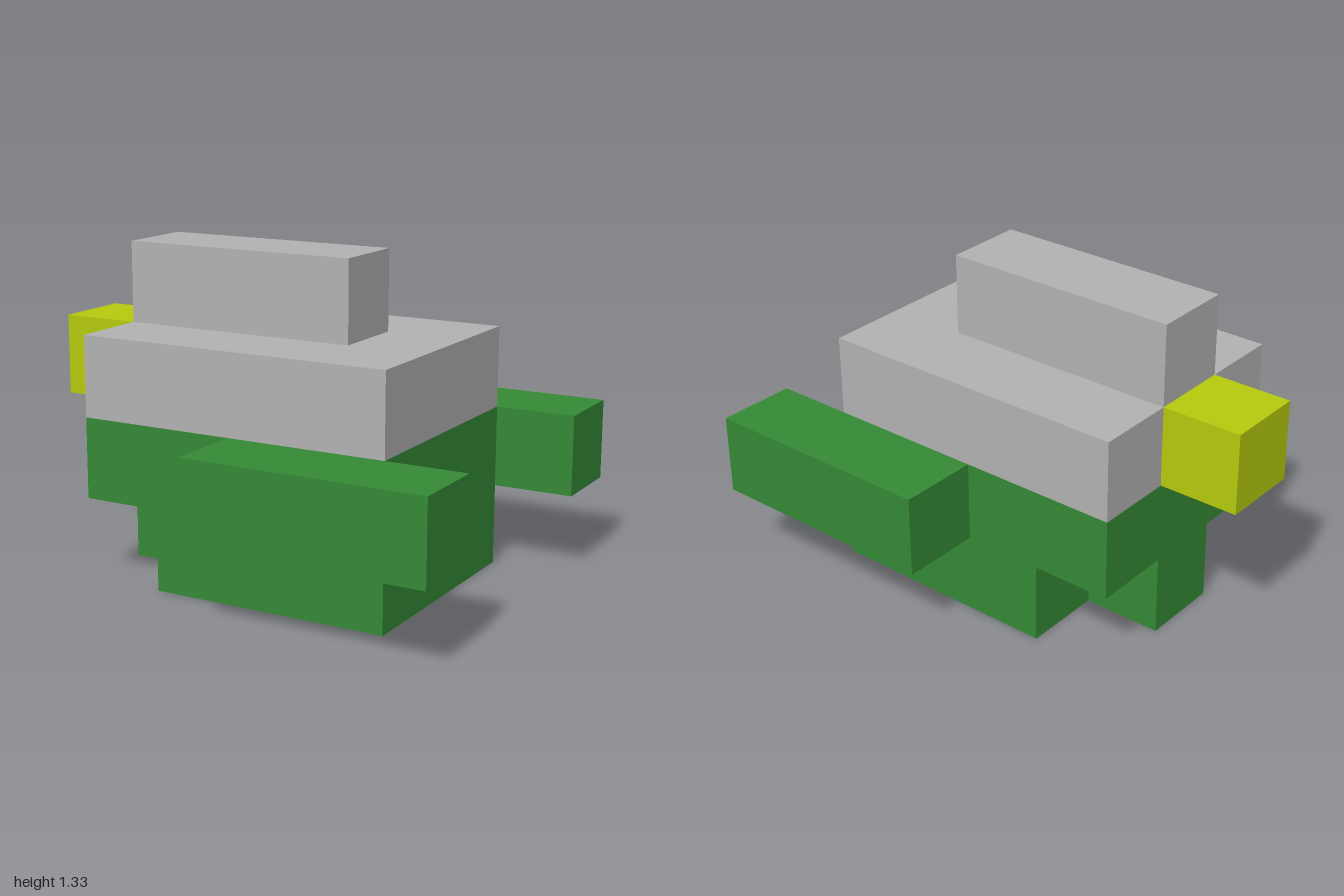
import * as THREE from 'three';

const U = 1 / 3; // one block

export function createModel() {
  const model = new THREE.Group();
  model.name = 'blockTurtle';

  const material = (name, color) => {
    const m = new THREE.MeshStandardMaterial({ color });
    m.name = name;
    return m;
  };
  const green = material('green', 0x358a36);
  const grey = material('grey', 0xb2b2b2);
  const yellow = material('yellow', 0xb6ca0d);

  // Box from its minimum corner to its maximum corner, in blocks
  const block = (name, mat, [x0, y0, z0], [x1, y1, z1]) => {
    const geometry = new THREE.BoxGeometry((x1 - x0) * U, (y1 - y0) * U, (z1 - z0) * U);
    const mesh = new THREE.Mesh(geometry, mat);
    mesh.position.set((x0 + x1) / 2, (y0 + y1) / 2, (z0 + z1) / 2).multiplyScalar(U);
    mesh.name = name;
    model.add(mesh);
  };

  // Lower body with a narrow tab towards the head end
  block('belly', green, [-1, 0, -1.5], [2, 1, 1.5]);
  block('bellyTab', green, [-2, 0, -0.5], [-1, 1, 0.5]);
  block('body', green, [-2, 1, -1.5], [2, 2, 1.5]);

  // Shell and its raised ridge
  block('shell', grey, [-2, 2, -1.5], [2, 3, 1.5]);
  block('shellRidge', grey, [-2, 3, -0.5], [1, 4, 0.5]);

  // Small block at the -x end
  block('head', yellow, [-3, 2, -0.5], [-2, 3, 0.5]);

  // Long side limbs, mirrored front to back
  block('frontLimb', green, [0, 1, 1.5], [3, 2, 2.5]);
  block('backLimb', green, [0, 1, -2.5], [3, 2, -1.5]);

  return model;
}
